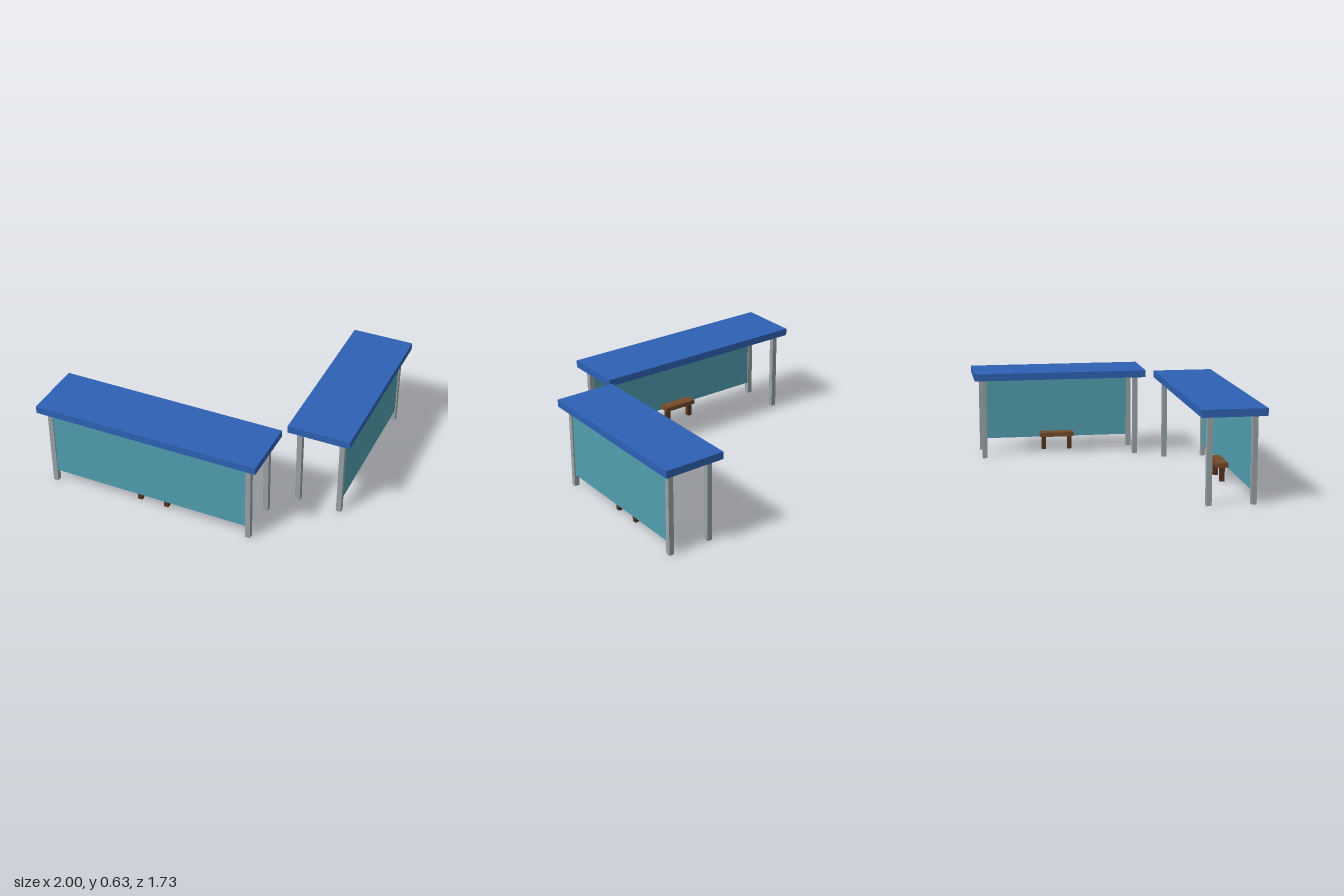
import * as THREE from 'three';

const mat = (name, color, side = THREE.FrontSide) => {
  const m = new THREE.MeshStandardMaterial({ color, side });
  m.name = name;
  return m;
};

export function createModel() {
  const blue = mat('roof blue', 0x2e61b4, THREE.DoubleSide);
  const teal = mat('panel teal', 0x519eaf);
  const grey = mat('post grey', 0x98a2a6);
  const seatWood = mat('seat brown', 0x754a2b);
  const legWood = mat('leg brown', 0x543620);

  const box = (parent, name, material, w, h, d, x, y, z) => {
    const mesh = new THREE.Mesh(new THREE.BoxGeometry(w, h, d), material);
    mesh.name = name;
    mesh.position.set(x, y, z);
    parent.add(mesh);
    return mesh;
  };

  // One shelter, long along x, with its wall panel on the +z side
  const shelter = (name, length) => {
    const g = new THREE.Group();
    g.name = name;
    const px = length / 2 - 0.069, pz = 0.146, post = 0.035;

    // Roof: a shallow tray, open underneath
    const roof = box(g, 'roof', blue, length, 0.05, 0.425, 0, 0.603, 0);
    const index = Array.from(roof.geometry.index.array);
    index.splice(18, 6); // drop the bottom face
    roof.geometry.setIndex(index);
    roof.geometry.clearGroups();

    // Four corner posts
    for (const sx of [-1, 1])
      for (const sz of [-1, 1])
        box(g, 'post', grey, post, 0.62, post, sx * px, 0.31, sz * pz);

    // Wall panel between the two outer posts
    box(g, 'wallPanel', teal, 2 * px - post, 0.453, 0.018, 0, 0.312, pz);

    // Bench
    const bench = new THREE.Group();
    bench.name = 'bench';
    bench.position.z = 0.092;
    box(bench, 'seat', seatWood, 0.25, 0.032, 0.078, 0, 0.114, 0);
    for (const s of [-1, 1])
      box(bench, 'benchLeg', legWood, 0.032, 0.098, 0.032, s * 0.097, 0.049, 0);
    g.add(bench);
    return g;
  };

  const model = new THREE.Group();
  model.name = 'shelters';

  const frontShelter = shelter('frontShelter', 1.56);
  frontShelter.position.set(-0.22, 0, 0.6525);

  const sideShelter = shelter('sideShelter', 1.248);
  sideShelter.rotation.y = Math.PI / 2;
  sideShelter.position.set(0.7875, 0, -0.241);

  model.add(frontShelter, sideShelter);
  return model;
}
